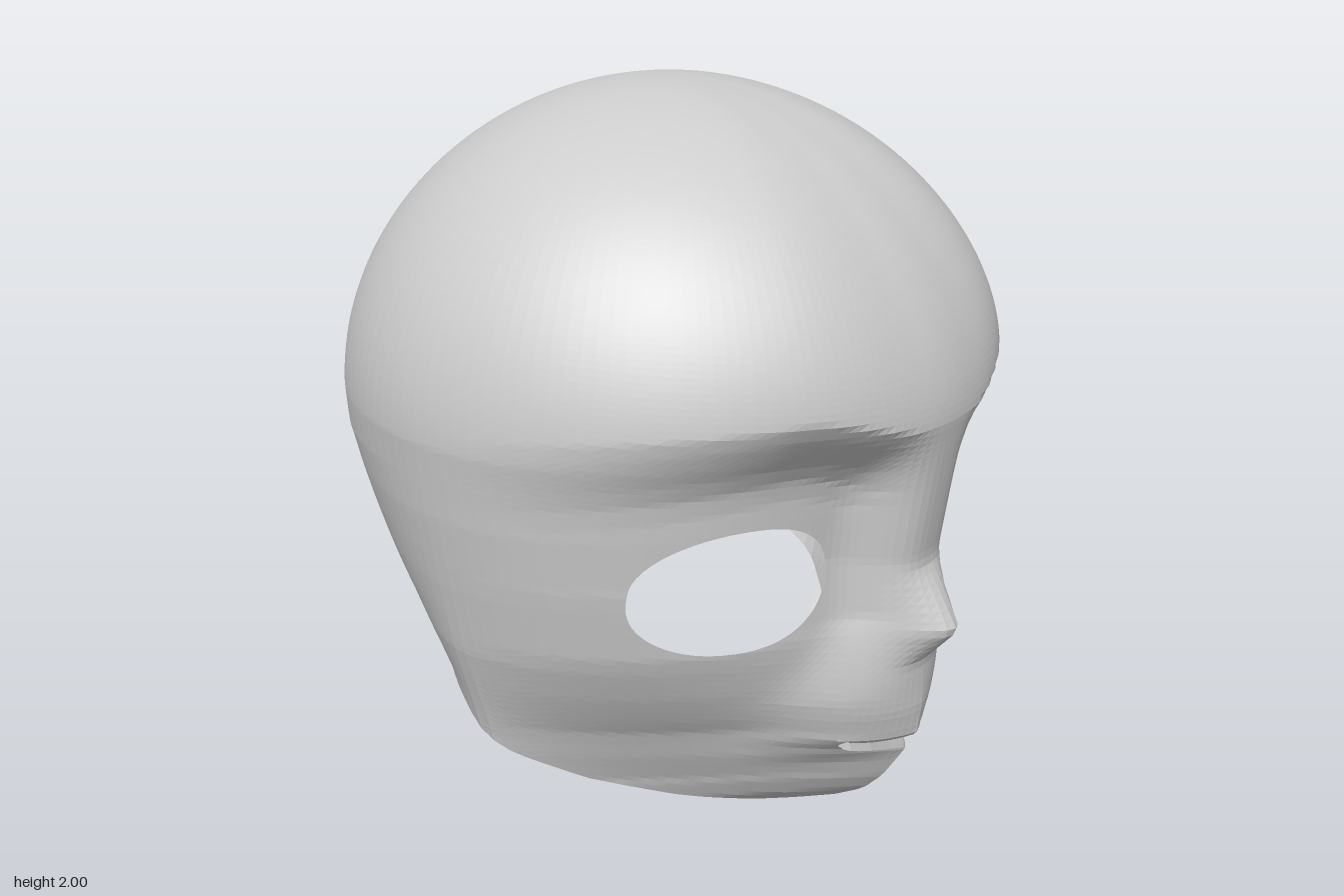
import * as THREE from 'three';

const AXIS_Z = -0.05; // vertical axis the cross-sections are measured from
const ANGLES = 144, ROWS = 130, UNDER_ROWS = 4;
const clamp01 = t => Math.min(1, Math.max(0, t));

// Piecewise-linear lookup in a short list of [key, value] pairs
function lookup(table, k) {
  if (k <= table[0][0]) return table[0][1];
  for (let i = 1; i < table.length; i++) {
    const [k0, v0] = table[i - 1], [k1, v1] = table[i];
    if (k <= k1) return v0 + (v1 - v0) * (k - k0) / (k1 - k0);
  }
  return table[table.length - 1][1];
}

// Cranium curve: full radius at y0, closing to nothing at the crown (y = 2)
const dome = (y, y0, radius, power) =>
  radius * Math.sqrt(Math.max(0, 1 - Math.pow(clamp01((y - y0) / (2 - y0)), power)));

// Profiles by height: half width, back depth, plain face depth, face centre line
const SIDE = [[0, 0.7], [0.1, 0.72], [0.2, 0.735], [0.3, 0.755], [0.4, 0.78], [0.6, 0.835],
  [0.8, 0.87], [0.9, 0.885], [1, 0.9], [1.2, 0.92]];
const BACK = [[0.45, 0.7], [0.55, 0.77], [0.65, 0.825], [0.73, 0.87], [0.9, 0.92], [1.1, 0.945]];
const FACE = [[0, 0.58], [0.06, 0.66], [0.13, 0.71], [0.25, 0.74], [0.4, 0.75], [0.6, 0.74],
  [0.85, 0.725], [1, 0.74], [1.05, 0.755], [1.1, 0.79], [1.15, 0.835], [1.19, 0.871], [1.23, 0.9]];
const CENTRE = [[0, 0.6], [0.06, 0.69], [0.13, 0.75], [0.25, 0.82], [0.28, 0.825], [0.31, 0.85],
  [0.4, 0.86], [0.7, 0.86], [0.85, 0.85], [1, 0.87], [1.15, 0.89], [1.23, 0.9]];
// Roundness of the cross-sections: 1 is a straight wedge, 2 an ellipse
const FRONT_ROUND = [[0, 1.05], [0.15, 1.1], [0.35, 1.3], [0.5, 1.58], [0.65, 1.82], [0.85, 1.95]];
const BACK_ROUND = [[0.45, 1.5], [0.6, 1.57], [0.8, 1.75], [1.1, 1.97]];
// Lower edge of the shell by angle from the front, in degrees
const EDGE = [[0, 0], [10, 0.006], [21, 0.02], [47, 0.08], [70, 0.155], [85, 0.25], [97, 0.37], [106, 0.42],
  [118, 0.46], [132, 0.5], [150, 0.58], [165, 0.68], [180, 0.73]];

const halfWidth = y => y > 1.2 ? dome(y, 1.2, 0.92, 2) : lookup(SIDE, y);
const backDepth = y => y > 1.1 ? dome(y, 1.1, 0.895, 2) : lookup(BACK, y) + AXIS_Z;
const frontDepth = y => y > 1.23 ? dome(y, 1.23, 0.95, 1.7) : lookup(FACE, y) - AXIS_Z;

// Distance of the surface from the axis at one angle and height
function radius(theta, y) {
  const s = Math.sin(theta), c = Math.cos(theta), w = halfWidth(y);
  if (w < 1e-5) return 0;
  // The brow ridge sits higher over the eyes than over the nose
  const t = clamp01((Math.abs(s) - 0.1) / 0.4);
  const lift = 0.09 * t * t * (3 - 2 * t) * Math.max(0, c) * clamp01((2 - y) / 0.7) * clamp01((y - 0.7) / 0.4);
  const depth = c >= 0 ? frontDepth(y - lift) : backDepth(y);
  if (depth < 1e-5) return 0;
  const n = lookup(c >= 0 ? FRONT_ROUND : BACK_ROUND, y);
  let r = Math.pow(Math.pow(Math.abs(s) / w, n) + Math.pow(Math.abs(c) / depth, n), -1 / n);
  if (c > 0 && y < 1.23) {
    const x = Math.abs(r * s);
    // Narrow nose bridge, broad muzzle, and a chin that is a soft keel
    const spread = 0.15 + 0.09 * clamp01((0.7 - y) / 0.25);
    const round = Math.exp(-((x / spread) ** 3)), keel = Math.exp(-x / 0.13);
    const k = clamp01((y - 0.2) / 0.12);
    r += (lookup(CENTRE, y) - lookup(FACE, y)) * (round * k + keel * (1 - k));
    // Pointed nose tip
    const rise = y > 0.655 ? (y - 0.655) / 0.16 : (0.655 - y) / 0.11;
    r += 0.09 * Math.max(0, 1 - rise) * Math.exp(-((x / 0.065) ** 2));
  }
  return r;
}

// Negative inside the eye and mouth openings
function openings(p) {
  if (p.z < 0.2) return 1;
  const x = Math.abs(p.x), dy = p.y - 0.845;
  const ex = Math.abs(x - 0.467) / 0.224, ey = Math.abs(dy) / (dy > 0 ? 0.16 : 0.192);
  const eye = Math.pow(ex, 2.2) + Math.pow(ey, 2.2) - 1;
  const m = x / 0.2;
  const mouth = Math.max(0.25 + 0.09 * m ** 5 - p.y, p.y - 0.3 - 0.05 * m ** 6, (x - 0.2) / 4) * 20;
  return Math.min(eye, mouth);
}

// Adds a triangle, cut along the rim of the openings
function addClipped(out, tri) {
  const poly = [];
  tri.forEach((a, i) => {
    const b = tri[(i + 1) % 3];
    if (a.f >= 0) poly.push(a.p);
    if ((a.f >= 0) !== (b.f >= 0)) poly.push(a.p.clone().lerp(b.p, a.f / (a.f - b.f)));
  });
  for (let i = 1; i + 1 < poly.length; i++) {
    const [a, b, c] = [poly[0], poly[i], poly[i + 1]];
    const area = b.clone().sub(a).cross(c.clone().sub(a)).length();
    if (area > 1e-9) for (const p of [a, b, c]) out.push(p.x, p.y, p.z);
  }
}

function gridGeometry(rows, pointAt, cut) {
  const grid = [];
  for (let j = 0; j <= rows; j++) {
    grid.push([]);
    for (let i = 0; i <= ANGLES; i++) {
      const u = -Math.PI + (i / ANGLES) * Math.PI * 2;
      const p = pointAt(u - 0.4 * Math.sin(u), j / rows); // finer spacing on the face
      grid[j].push({ p, f: cut ? openings(p) : 1 });
    }
  }
  const out = [];
  for (let j = 0; j < rows; j++) for (let i = 0; i < ANGLES; i++) {
    const a = grid[j][i], b = grid[j][i + 1], c = grid[j + 1][i + 1], d = grid[j + 1][i];
    if (i < ANGLES / 2) { addClipped(out, [a, b, c]); addClipped(out, [a, c, d]); }
    else { addClipped(out, [a, b, d]); addClipped(out, [b, c, d]); }
  }
  const geometry = new THREE.BufferGeometry();
  geometry.setAttribute('position', new THREE.Float32BufferAttribute(out, 3));
  geometry.computeVertexNormals();
  return geometry;
}

const edgeHeight = theta => lookup(EDGE, Math.abs(theta) * 180 / Math.PI);

// Point on the outer shell, v = 0 at the lower edge and 1 at the crown
function shellPoint(theta, v) {
  const y0 = edgeHeight(theta);
  const y = v === 1 ? 2 : y0 + (2 - y0) * Math.sin(v * Math.PI / 2);
  const r = radius(theta, y);
  return new THREE.Vector3(r * Math.sin(theta), y, AXIS_Z + r * Math.cos(theta));
}

// Point under the jaw, v = 0 at the neck opening and 1 at the jaw edge
function underPoint(theta, v) {
  const p = shellPoint(theta, 0), c = Math.max(0, Math.cos(theta)), t = 1 - v;
  p.y += 0.05 * c * t;
  p.z -= Math.max(0, p.z - AXIS_Z) * 0.62 * t * Math.sqrt(c);
  return p;
}

export function createModel() {
  const material = new THREE.MeshStandardMaterial({ color: 0xcccccc, flatShading: true, side: THREE.DoubleSide });
  material.name = 'light grey';
  const group = new THREE.Group();
  group.name = 'headShell';

  const head = new THREE.Mesh(gridGeometry(ROWS, shellPoint, true), material);
  head.name = 'skullAndFace';
  const jaw = new THREE.Mesh(gridGeometry(UNDER_ROWS, underPoint, false), material);
  jaw.name = 'jawUnderside';
  group.add(head, jaw);
  return group;
}
